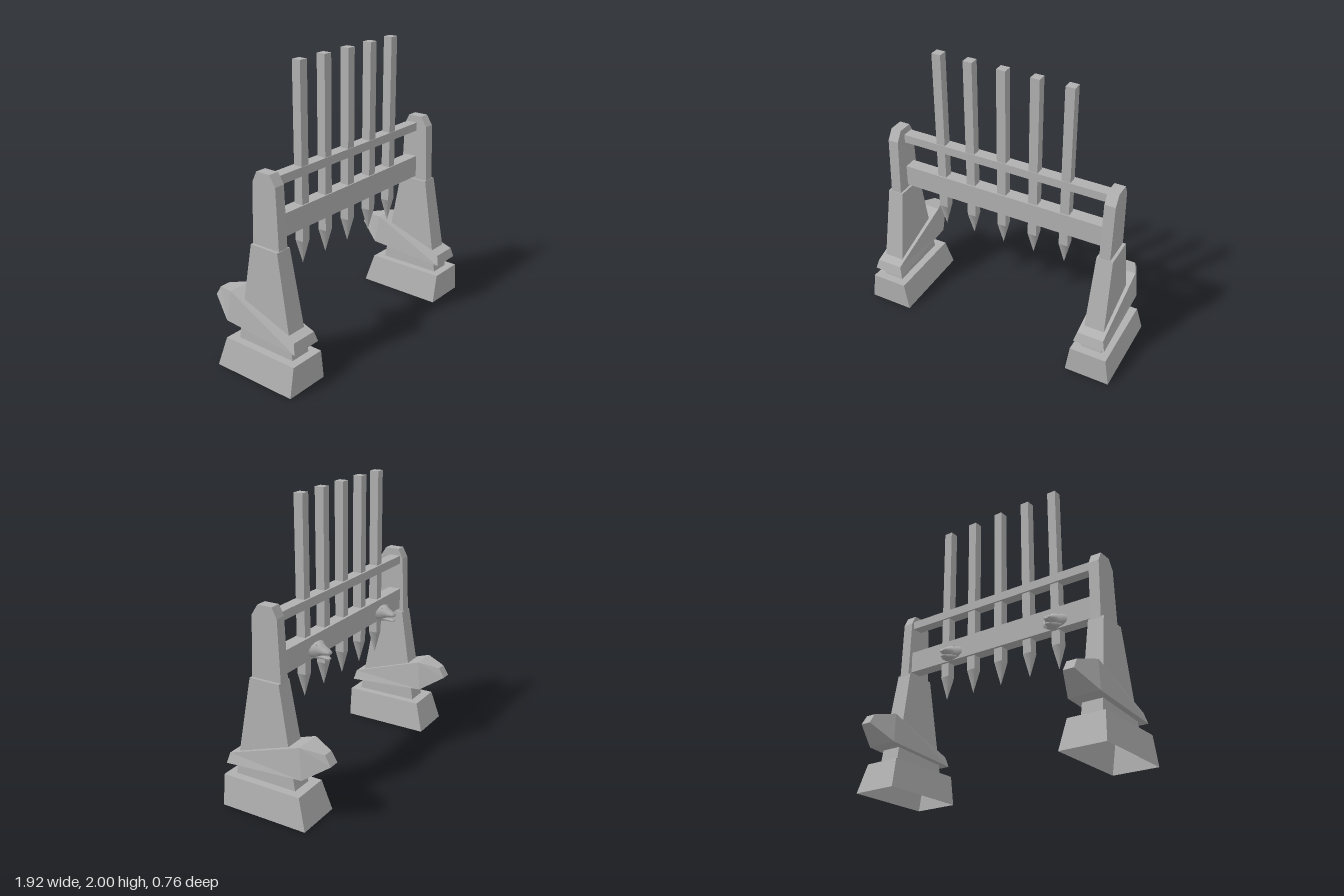
import * as THREE from 'three';
import { toCreasedNormals } from 'three/addons/utils/BufferGeometryUtils.js';

// Skin a row of equal-length cross-sections; counter-clockwise seen from the far end
function loft(sections, startCap, endCap, crease = 0.1) {
  const n = sections[0].length, pos = sections.flat(2), idx = [];
  for (let s = 0; s < sections.length - 1; s++) {
    for (let i = 0; i < n; i++) {
      const j = (i + 1) % n, a = s * n + i, b = s * n + j;
      idx.push(a, b, b + n, a, b + n, a + n);
    }
  }
  const e = (sections.length - 1) * n;
  for (let i = 1; i < n - 1; i++) {
    if (startCap) idx.push(0, i + 1, i);
    if (endCap) idx.push(e, e + i, e + i + 1);
  }
  const g = new THREE.BufferGeometry();
  g.setAttribute('position', new THREE.Float32BufferAttribute(pos, 3));
  g.setIndex(idx);
  return toCreasedNormals(g, crease);
}

// Horizontal rectangle at height y
const level = (y, hx, zBack, zFront) =>
  [[-hx, y, zFront], [hx, y, zFront], [hx, y, zBack], [-hx, y, zBack]];

// Upright section through the collar, from bottom edge to top edge
const slice = (yB, zB, hB, yT, zT, hT) =>
  [[hB, yB, zB], [-hB, yB, zB], [-hT, yT, zT], [hT, yT, zT]];

// Elliptical section through a head, at depth z
const ring = (z, y, rx, ry, n = 14) => Array.from({ length: n }, (_, i) => {
  const a = i / n * Math.PI * 2;
  return [-Math.cos(a) * rx, y + Math.sin(a) * ry, z];
});

export function createModel() {
  const model = new THREE.Group();
  model.name = 'spikedGate';
  const stone = new THREE.MeshStandardMaterial({ color: 0xb0b0b0, side: THREE.DoubleSide });
  stone.name = 'grey stone';

  const add = (parent, name, geometry, x = 0, y = 0, z = 0) => {
    const mesh = new THREE.Mesh(geometry, stone);
    mesh.name = name;
    mesh.position.set(x, y, z);
    parent.add(mesh);
    return mesh;
  };

  // Hollow pedestal with a ledge around the tower
  const pedestal = loft([
    level(0, 0.16, -0.26, 0.375),
    level(0.21, 0.13, -0.2, 0.38),
    level(0.21, 0.075, -0.135, 0.322),
  ], false, false);
  const tower = loft([
    level(0.21, 0.075, -0.135, 0.322),
    level(0.9, 0.057, -0.02, 0.2),
  ], false, true);

  // Slanting collar, rising and narrowing towards the back
  const collar = loft([
    slice(0.285, 0.372, 0.112, 0.355, 0.355, 0.093),
    slice(0.325, -0.21, 0.112, 0.535, -0.185, 0.093),
    slice(0.43, -0.377, 0.038, 0.5, -0.335, 0.036),
  ], true, true);

  // Chamfered post head, profile given as (z, y)
  const outline = [[0.197, 0.88], [0.18, 1.31], [0.135, 1.38], [0.03, 1.38], [-0.005, 1.31], [-0.022, 0.88]];
  const post = loft([-0.038, 0.038].map(x => outline.map(([z, y]) => [x, y, z])), true, true);

  for (const side of [-1, 1]) {
    const pillar = new THREE.Group();
    pillar.name = side > 0 ? 'leftPillar' : 'rightPillar';
    pillar.position.x = side * 0.8;
    add(pillar, 'pedestal', pedestal);
    add(pillar, 'tower', tower);
    add(pillar, 'slantedCollar', collar);
    add(pillar, 'post', post, -side * 0.002);
    model.add(pillar);
  }

  // Cross beams
  add(model, 'lowerBeam', new THREE.BoxGeometry(1.54, 0.155, 0.092), 0, 0.998, 0.057);
  add(model, 'upperBeam', new THREE.BoxGeometry(1.54, 0.06, 0.082), 0, 1.3, 0.057);

  // Pointed bars
  const bar = new THREE.BoxGeometry(0.064, 1.18, 0.064);
  const tip = new THREE.CylinderGeometry(0.032 * Math.SQRT2, 0, 0.165, 4, 1, true);
  tip.rotateY(Math.PI / 4);
  [-0.47, -0.242, -0.006, 0.228, 0.46].forEach((x, i) => {
    const spike = new THREE.Group();
    spike.name = 'spike' + (i + 1);
    add(spike, 'bar', bar, x, 1.41, 0.062);
    add(spike, 'tip', tip, x, 0.7375, 0.062);
    model.add(spike);
  });

  // Animal heads on the back of the lower beam
  const skull = loft([
    ring(0.014, 0.975, 0.1, 0.05),
    ring(0, 0.972, 0.085, 0.05),
    ring(-0.018, 0.97, 0.06, 0.05),
    ring(-0.038, 0.972, 0.044, 0.034),
    ring(-0.06, 0.968, 0.036, 0.026),
    ring(-0.085, 0.965, 0.028, 0.015),
    ring(-0.097, 0.963, 0.018, 0.009),
  ], false, true, 1);
  const jaw = loft([
    ring(0, 0.94, 0.06, 0.026),
    ring(-0.025, 0.935, 0.042, 0.018),
    ring(-0.06, 0.926, 0.026, 0.011),
    ring(-0.088, 0.923, 0.018, 0.008),
    ring(-0.095, 0.923, 0.01, 0.004),
  ], false, true, 1);
  const ear = new THREE.ConeGeometry(0.013, 0.04, 6);
  const tooth = new THREE.ConeGeometry(0.004, 0.016, 5);
  for (const x of [-0.48, 0.387]) {
    const head = new THREE.Group();
    head.name = x > 0 ? 'leftHead' : 'rightHead';
    head.position.x = x;
    add(head, 'skull', skull);
    add(head, 'jaw', jaw);
    for (const s of [-1, 1]) {
      add(head, 'ear', ear, s * 0.035, 1.005, -0.012).rotation.z = -s * 0.5;
      add(head, 'tooth', tooth, s * 0.016, 0.947, -0.084).rotation.x = Math.PI;
    }
    model.add(head);
  }
  return model;
}
